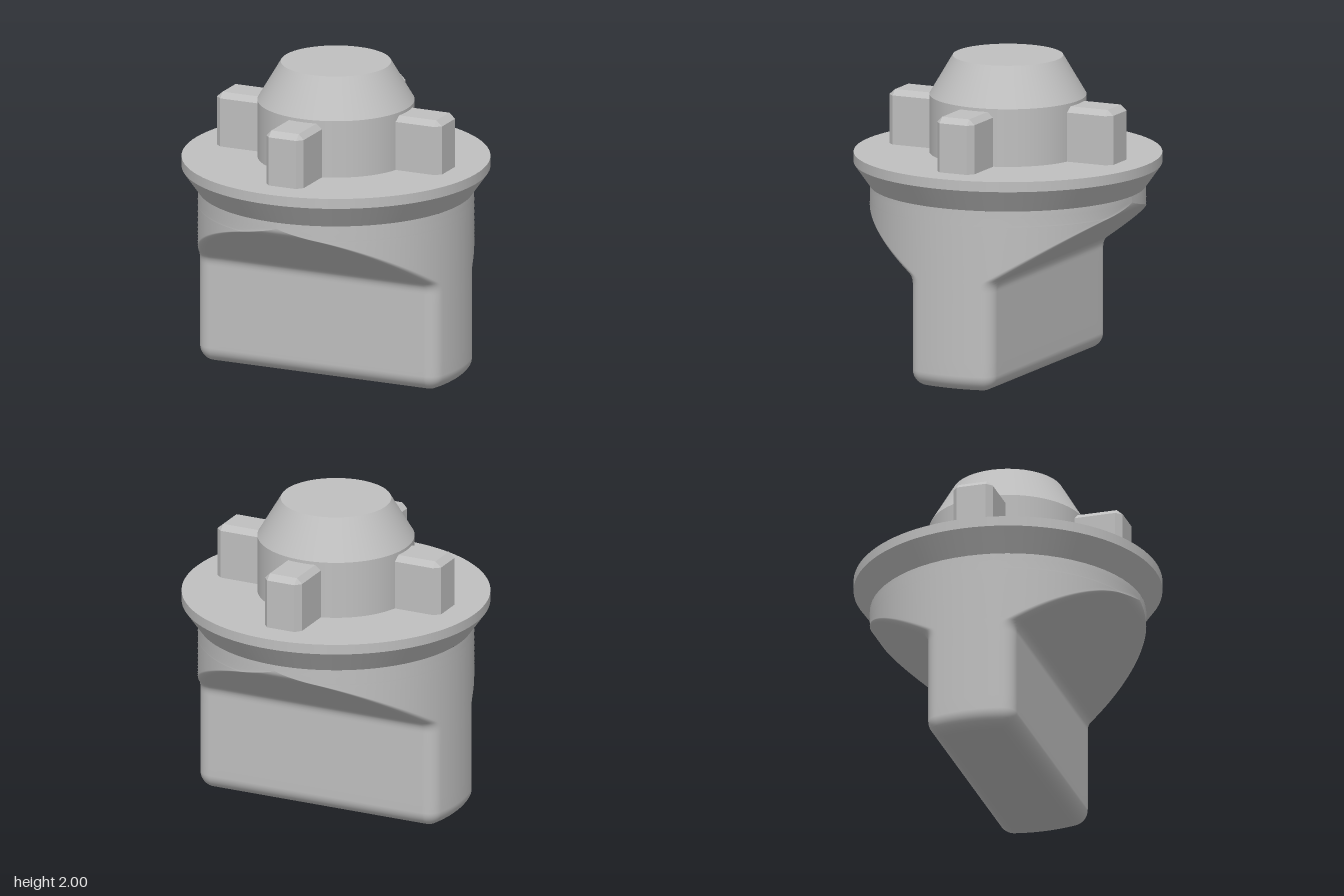
import * as THREE from 'three';
import { ConvexGeometry } from 'three/addons/geometries/ConvexGeometry.js';

const R = 0.87; // body radius
const W = 0.29; // half thickness of the grip
const F = 0.1; // fillet radius

// Closed loop: circle of radius r cut by the strip |z| <= w, corners rounded by f
function section(r, w, f) {
  const q = [];
  const cz = w - f;
  const cx = Math.sqrt(Math.max(0, (r - f) ** 2 - cz ** 2));
  const phi = Math.atan2(cz, cx);
  for (let i = 0; i < 16; i++) {
    const a = (phi * i) / 16;
    q.push([r * Math.cos(a), r * Math.sin(a)]);
  }
  for (let i = 0; i < 10; i++) {
    const a = phi + ((Math.PI / 2 - phi) * i) / 10;
    q.push([cx + f * Math.cos(a), cz + f * Math.sin(a)]);
  }
  for (let i = 0; i <= 8; i++) q.push([cx * (1 - i / 8), w]);
  const half = [...q, ...q.slice(0, -1).reverse().map(([x, z]) => [-x, z])];
  return [...half, ...half.slice(1, -1).reverse().map(([x, z]) => [x, -z])];
}

// Round body narrowing through two slopes to a flat grip
function bodyGeometry() {
  const rows = [];
  for (let i = 0; i <= 10; i++) {
    const a = (i / 10) * Math.PI / 2;
    const d = F * (1 - Math.sin(a));
    rows.push([F * (1 - Math.cos(a)), R - d, W - d, Math.max(0.005, F - d)]);
  }
  const wall = (y, w) => rows.push([y, R, w, F]);
  for (let i = 1; i <= 6; i++) wall(0.1 + 0.09 * i, W);
  [[0.655, 0.29], [0.672, 0.292], [0.688, 0.297], [0.702, 0.305], [0.715, 0.317]].forEach((p) => wall(...p));
  for (let i = 1; i <= 40; i++) {
    const t = 1 - (1 - i / 40) ** 1.5;
    wall(0.715 + 0.353 * t, 0.317 + 0.516 * t);
  }
  [[1.078, 0.846], [1.09, 0.857], [1.103, 0.865], [1.116, 0.869], [1.13, R], [1.17, R]].forEach((p) => wall(...p));

  const pos = [];
  const index = [];
  let n = 0;
  for (const [y, r, w, f] of rows) {
    const loop = section(r, w, f);
    n = loop.length;
    loop.forEach(([x, z]) => pos.push(x, y, z));
  }
  const centre = pos.length / 3;
  pos.push(0, 0, 0);
  for (let j = 0; j < n; j++) {
    const k = (j + 1) % n;
    index.push(centre, j, k);
    for (let i = 0; i < rows.length - 1; i++) {
      const a = i * n + j, b = i * n + k;
      index.push(a, a + n, b, b, a + n, b + n);
    }
  }
  const g = new THREE.BufferGeometry();
  g.setAttribute('position', new THREE.Float32BufferAttribute(pos, 3));
  g.setIndex(index);
  g.computeVertexNormals();
  return g;
}

// Radial lug with chamfered top and outer corners
function lugGeometry() {
  const pts = [];
  const add = (x, y, z) => pts.push(new THREE.Vector3(x, y, z), new THREE.Vector3(x, y, -z));
  for (const y of [1.37, 1.695]) {
    add(0.4, y, 0.13);
    add(0.745, y, 0.13);
    add(0.785, y, 0.095);
  }
  add(0.4, 1.73, 0.095);
  add(0.745, 1.73, 0.095);
  return new ConvexGeometry(pts);
}

export function createModel() {
  const group = new THREE.Group();
  const grey = new THREE.MeshStandardMaterial({ color: 0xbfbfbf });
  grey.name = 'grey';

  const add = (name, geometry) => {
    const mesh = new THREE.Mesh(geometry, grey);
    mesh.name = name;
    group.add(mesh);
    return mesh;
  };
  const ring = (name, rTop, rBottom, y0, y1, open) => {
    const g = new THREE.CylinderGeometry(rTop, rBottom, y1 - y0, 96, 1, open);
    add(name, g.translate(0, (y0 + y1) / 2, 0));
  };

  add('body', bodyGeometry());

  // Flange
  ring('flangeFlare', 0.972, R, 1.17, 1.315, true);
  ring('flangeRim', 0.972, 0.972, 1.315, 1.38, false);

  // Hub
  ring('hub', 0.495, 0.495, 1.38, 1.75, true);
  ring('hubCone', 0.348, 0.495, 1.75, 2, false);

  // Four lugs around the hub
  const lug = lugGeometry();
  for (let i = 0; i < 4; i++) add('lug' + (i + 1), lug).rotation.y = (i * Math.PI) / 2;

  return group;
}
